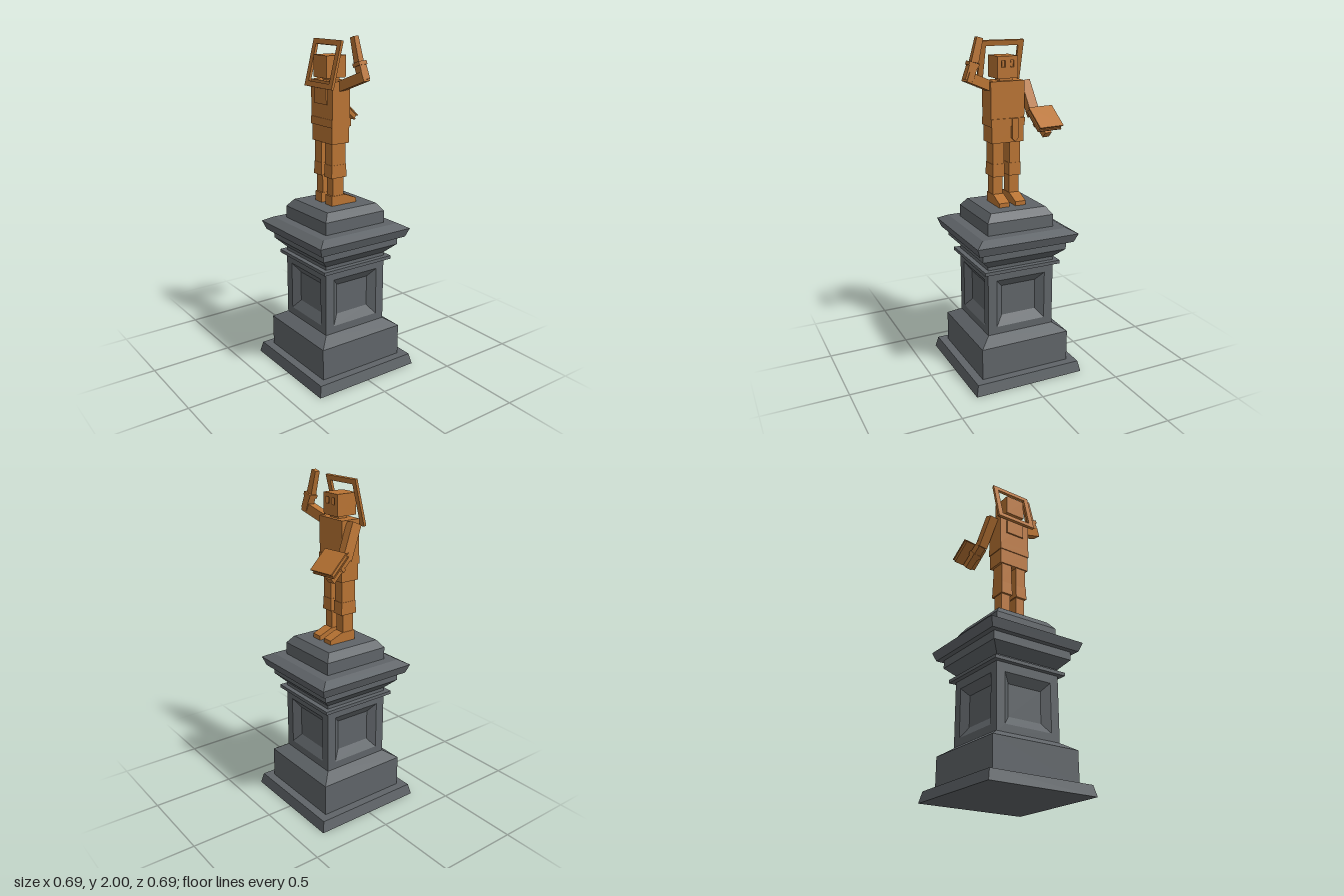
import * as THREE from 'three';

const stone = new THREE.MeshStandardMaterial({ color: 0x5f6468, flatShading: true });
const bronze = new THREE.MeshStandardMaterial({ color: 0xb87333, flatShading: true });
const v = (x, y, z) => new THREE.Vector3(x, y, z);

function add(parent, name, geometry, material) {
  const mesh = new THREE.Mesh(geometry, material);
  mesh.name = name;
  parent.add(mesh);
  return mesh;
}

// Box between two corners; the top can be narrowed by tx, tz
function block(parent, name, x0, x1, y0, y1, z0, z1, tx = 1, tz = 1) {
  const g = new THREE.BoxGeometry(x1 - x0, y1 - y0, z1 - z0);
  const p = g.attributes.position;
  for (let i = 0; i < p.count; i++) {
    if (p.getY(i) > 0) p.setXYZ(i, p.getX(i) * tx, p.getY(i), p.getZ(i) * tz);
  }
  const mesh = add(parent, name, g, bronze);
  mesh.position.set((x0 + x1) / 2, (y0 + y1) / 2, (z0 + z1) / 2);
  return mesh;
}

// Box running from a to b, w wide across and d deep towards the hint
function limb(parent, name, a, b, w, d, hint, taper = 1) {
  const len = a.distanceTo(b);
  const mesh = block(parent, name, -w / 2, w / 2, 0, len, -d / 2, d / 2, taper, taper);
  const Y = b.clone().sub(a).normalize();
  const X = Y.clone().cross(hint).normalize();
  const Z = X.clone().cross(Y);
  mesh.quaternion.setFromRotationMatrix(new THREE.Matrix4().makeBasis(X, Y, Z));
  mesh.position.copy(a).add(b).multiplyScalar(0.5);
  return mesh;
}

// Square stepped moulding from [half width, height] pairs
function moulding(parent, name, profile) {
  const pts = profile.map(([r, y]) => new THREE.Vector2(r * Math.SQRT2, y));
  add(parent, name, new THREE.LatheGeometry(pts, 4, Math.PI / 4), stone);
}

// Shaft side with a bevelled sunken panel, made of nested rectangles
function panelGeometry() {
  const rings = [[0.21, 0.29, 0.74, 0.21], [0.155, 0.345, 0.637, 0.21], [0.11, 0.4, 0.587, 0.175]];
  const pos = [], idx = [];
  for (const [w, lo, hi, z] of rings) pos.push(-w, lo, z, w, lo, z, w, hi, z, -w, hi, z);
  for (let r = 0; r < 2; r++) {
    for (let k = 0; k < 4; k++) {
      const a = r * 4 + k, b = r * 4 + (k + 1) % 4;
      idx.push(a, b, b + 4, a, b + 4, a + 4);
    }
  }
  idx.push(8, 9, 10, 8, 10, 11);
  const g = new THREE.BufferGeometry();
  g.setAttribute('position', new THREE.Float32BufferAttribute(pos, 3));
  g.setIndex(idx);
  g.computeVertexNormals();
  return g;
}

function rectPath(Type, x0, x1, y0, y1) {
  return new Type([[x0, y0], [x1, y0], [x1, y1], [x0, y1]].map(([x, y]) => new THREE.Vector2(x, y)));
}

function extrude(shape, depth) {
  return new THREE.ExtrudeGeometry(shape, { depth, bevelEnabled: false });
}

function buildPedestal() {
  const g = new THREE.Group();
  g.name = 'pedestal';
  moulding(g, 'pedestalBase', [[0, 0], [0.345, 0], [0.33, 0.065], [0.28, 0.065], [0.28, 0.255], [0.21, 0.3], [0, 0.3]]);
  const side = panelGeometry();
  for (let i = 0; i < 4; i++) add(g, 'shaftPanel', side, stone).rotation.y = i * Math.PI / 2;
  moulding(g, 'shaftTrim', [[0.205, 0.69], [0.24, 0.69], [0.24, 0.71], [0.205, 0.71]]);
  moulding(g, 'cornice', [[0, 0.73], [0.21, 0.73], [0.265, 0.785], [0.265, 0.835], [0.298, 0.835],
    [0.318, 0.888], [0.265, 0.917], [0.208, 0.917], [0.208, 0.99], [0.173, 1.035], [0, 1.035]]);
  return g;
}

function buildBody() {
  const g = new THREE.Group();
  g.name = 'body';
  for (const s of [-1, 1]) {
    const c = s * 0.052;
    // Foot: side profile with a sloping toe
    const foot = new THREE.Shape([[-0.08, 1.035], [0.095, 1.035], [0.095, 1.06], [0.015, 1.093], [-0.08, 1.093]]
      .map(([x, y]) => new THREE.Vector2(x, y)));
    add(g, 'foot', extrude(foot, 0.066), bronze).position.z = c - 0.033;
    block(g, 'shin', -0.07, 0.005, 1.09, 1.21, c - 0.03, c + 0.03);
    block(g, 'kneeGuard', -0.085, 0.02, 1.2, 1.275, c - 0.038, c + 0.038, 0.95, 0.95);
    block(g, 'thigh', -0.08, 0.015, 1.27, 1.41, c - 0.034, c + 0.034);
  }
  block(g, 'hips', -0.088, 0.03, 1.4, 1.5, -0.1, 0.1);
  block(g, 'belt', -0.094, 0.037, 1.495, 1.54, -0.105, 0.105);
  block(g, 'chest', -0.09, 0.03, 1.54, 1.75, -0.105, 0.105);
  block(g, 'backPlate', -0.1, -0.085, 1.62, 1.71, -0.06, 0.06);
  block(g, 'neck', -0.055, 0.005, 1.745, 1.77, -0.04, 0.04);

  // Belt pendant with a pointed end
  const tag = new THREE.Shape([[-0.02, 1.54], [-0.02, 1.425], [0, 1.405], [0.02, 1.425], [0.02, 1.54]]
    .map(([x, y]) => new THREE.Vector2(x, y)));
  const pendant = add(g, 'beltPendant', extrude(tag, 0.02), bronze);
  pendant.rotation.y = Math.PI / 2;
  pendant.position.set(0.025, 0, -0.042);
  return g;
}

function buildHead() {
  const g = new THREE.Group();
  g.name = 'head';
  block(g, 'skull', -0.1, 0.019, 1.765, 1.888, -0.063, 0.063);
  // Face plate with two square eye holes
  const face = rectPath(THREE.Shape, -0.063, 0.063, 1.765, 1.888);
  for (const s of [-1, 1]) face.holes.push(rectPath(THREE.Path, s * 0.027 - 0.012, s * 0.027 + 0.012, 1.827, 1.865));
  const plate = add(g, 'facePlate', extrude(face, 0.012), bronze);
  plate.rotation.y = Math.PI / 2;
  plate.position.x = 0.019;
  for (const s of [-1, 1]) block(g, 'eye', 0.015, 0.024, 1.833, 1.859, s * 0.027 - 0.006, s * 0.027 + 0.006);

  // Tilted rectangular frame behind the head
  const frame = rectPath(THREE.Shape, -0.133, 0.133, -0.135, 0.135);
  frame.holes.push(rectPath(THREE.Path, -0.1, 0.1, -0.105, 0.105));
  const geo = extrude(frame, 0.016);
  geo.translate(0, 0, -0.008);
  geo.rotateY(Math.PI / 2);
  const mesh = add(g, 'headFrame', geo, bronze);
  mesh.position.set(-0.076, 1.84, 0);
  mesh.rotation.z = -0.25;
  return g;
}

function buildArms() {
  const g = new THREE.Group();
  g.name = 'arms';
  const up = v(0, 1, 0), forward = v(1, 0, 0);
  // Raised right arm
  limb(g, 'rightUpperArm', v(-0.022, 1.717, 0.08), v(0.024, 1.788, 0.252), 0.052, 0.056, up);
  limb(g, 'rightForearm', v(0.024, 1.765, 0.24), v(0.018, 1.86, 0.205), 0.05, 0.045, forward);
  limb(g, 'rightCuff', v(0.018, 1.84, 0.212), v(0.017, 1.86, 0.205), 0.06, 0.054, forward);
  limb(g, 'rightHand', v(0.017, 1.86, 0.2), v(0.011, 1.992, 0.165), 0.045, 0.035, forward, 0.85);

  // Lowered left arm
  limb(g, 'leftUpperArm', v(-0.033, 1.735, -0.13), v(0.052, 1.55, -0.155), 0.055, 0.062, forward);
  limb(g, 'leftForearm', v(0.035, 1.575, -0.155), v(0.115, 1.503, -0.17), 0.05, 0.045, up);
  limb(g, 'leftCuff', v(0.092, 1.523, -0.166), v(0.108, 1.509, -0.168), 0.058, 0.055, up);
  limb(g, 'leftHand', v(0.11, 1.507, -0.17), v(0.17, 1.455, -0.18), 0.045, 0.038, up);

  // Book resting on the left hand
  const book = new THREE.Group();
  book.name = 'book';
  block(book, 'lowerCover', -0.075, 0.075, -0.018, -0.01, -0.08, 0.08);
  block(book, 'pages', -0.07, 0.07, -0.01, 0.01, -0.075, 0.075);
  block(book, 'upperCover', -0.075, 0.075, 0.01, 0.018, -0.08, 0.08);
  book.position.set(0.163, 1.548, -0.168);
  book.rotation.set(0, 0.14, -0.72);
  g.add(book);
  return g;
}

export function createModel() {
  const model = new THREE.Group();
  model.name = 'statueOnPedestal';
  const figure = new THREE.Group();
  figure.name = 'figure';
  figure.add(buildBody(), buildHead(), buildArms());
  model.add(buildPedestal(), figure);
  return model;
}
